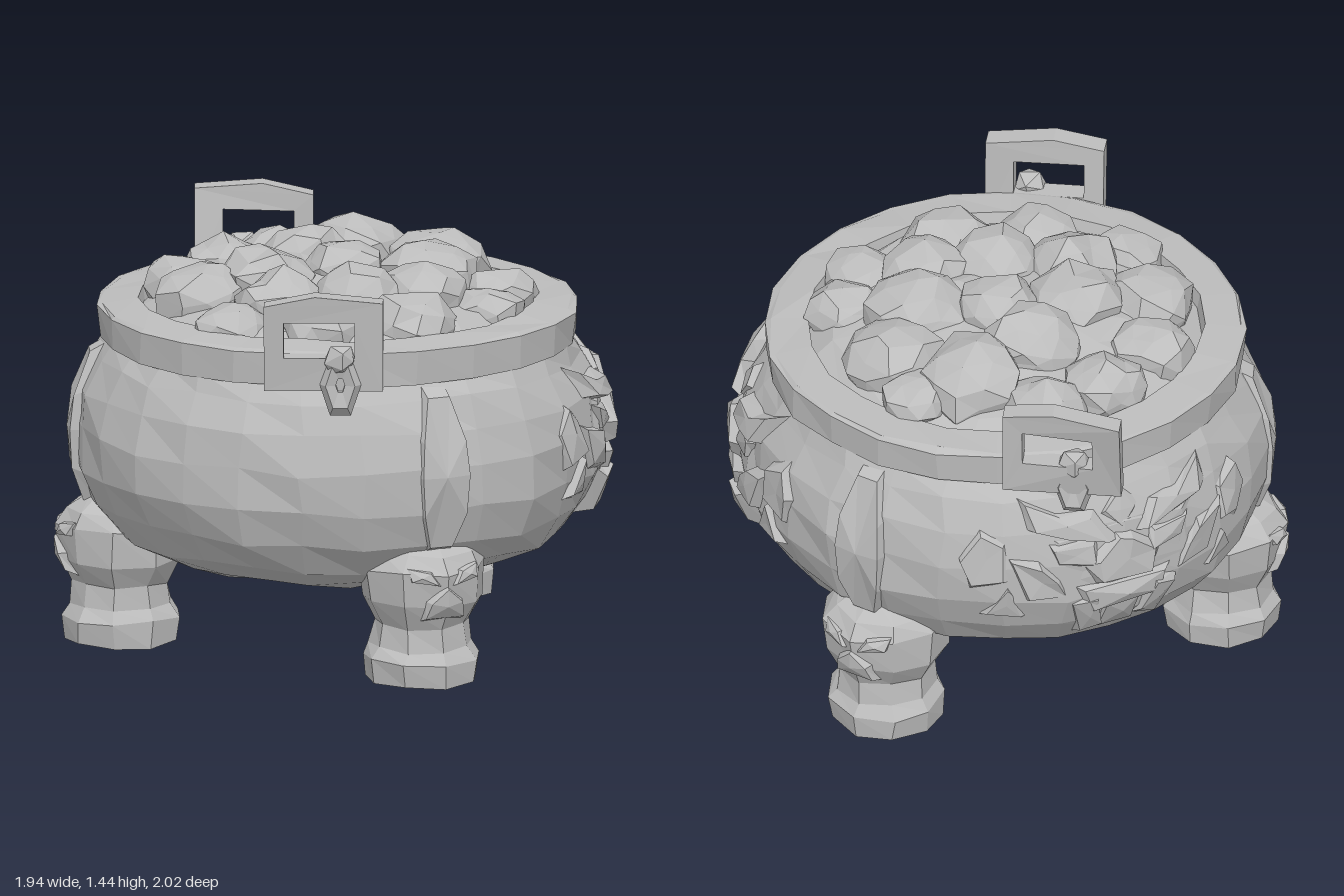
import * as THREE from 'three';

const stone = new THREE.MeshStandardMaterial({ color: 0xbcbcbc, flatShading: true });
stone.name = 'greyStone';
const rad = THREE.MathUtils.degToRad;

// repeatable noise in -1..1 from a position
function noise(x, y, z, seed) {
  const s = Math.sin(Math.round(x * 500) * 0.129 + Math.round(y * 500) * 0.782 + Math.round(z * 500) * 0.377 + seed * 1.7) * 43758.5;
  return (s - Math.floor(s)) * 2 - 1;
}

function roughen(geo, amount, seed = 1) {
  const p = geo.attributes.position;
  for (let i = 0; i < p.count; i++) {
    const [x, y, z] = [p.getX(i), p.getY(i), p.getZ(i)];
    p.setXYZ(i, x + amount * noise(x, y, z, seed), y + amount * noise(x, y, z, seed + 1), z + amount * noise(x, y, z, seed + 2));
  }
  return geo;
}

function add(parent, name, geo) {
  const flat = geo.index ? geo.toNonIndexed() : geo;
  flat.computeVertexNormals();
  const mesh = new THREE.Mesh(flat, stone);
  mesh.name = name;
  parent.add(mesh);
  return mesh;
}

const lathe = (profile, sides) => new THREE.LatheGeometry(profile.map(([r, y]) => new THREE.Vector2(r, y)), sides);

// radius of a profile at height y
function radiusAt(profile, y) {
  for (let i = 1; i < profile.length; i++) {
    const [r0, y0] = profile[i - 1], [r1, y1] = profile[i];
    if (y <= y1) return y1 === y0 ? r1 : r0 + (r1 - r0) * Math.max(0, (y - y0) / (y1 - y0));
  }
  return profile[profile.length - 1][0];
}

// bevelled raised patch wrapped round a profile; outline is [across, height]
function relief(profile, angle, outline, height, inset = 0.72) {
  const n = outline.length, span = Math.max(...profile.map(p => p[0]));
  const cu = outline.reduce((s, p) => s + p[0], 0) / n, cv = outline.reduce((s, p) => s + p[1], 0) / n;
  const place = (u, v, h) => {
    const r = radiusAt(profile, v) + h, a = angle + u / span;
    return [r * Math.sin(a), v, r * Math.cos(a)];
  };
  const pos = [], idx = [];
  outline.forEach(([u, v]) => pos.push(...place(u, v, -0.02)));
  outline.forEach(([u, v]) => pos.push(...place(cu + (u - cu) * inset, cv + (v - cv) * inset, height)));
  pos.push(...place(cu, cv, height * 1.1));
  for (let i = 0; i < n; i++) {
    const j = (i + 1) % n;
    idx.push(i, j, n + j, i, n + j, n + i, n + i, n + j, 2 * n);
  }
  const geo = new THREE.BufferGeometry();
  geo.setAttribute('position', new THREE.Float32BufferAttribute(pos, 3));
  geo.setIndex(idx);
  return geo;
}

const mirrored = outline => outline.map(([u, v]) => [-u, v]).reverse();

const bowl = [[0, 0.27], [0.3, 0.275], [0.5, 0.3], [0.67, 0.35], [0.8, 0.42], [0.88, 0.52], [0.925, 0.65],
  [0.93, 0.8], [0.91, 0.93], [0.86, 1.04], [0.82, 1.11]];
const legProfile = [[0, 0], [0.2, 0], [0.21, 0.09], [0.185, 0.13], [0.17, 0.21], [0.22, 0.3], [0.228, 0.42],
  [0.19, 0.48], [0.1, 0.53], [0, 0.54]];

// beast mask: paired pieces, then centre pieces, each [name, relief height, outline]
const pairs = [
  ['brow', 0.075, [[0.02, 0.86], [0.2, 0.89], [0.38, 0.93], [0.43, 1.06], [0.26, 0.99], [0.1, 0.98]]],
  ['eye', 0.04, [[0.08, 0.77], [0.26, 0.79], [0.3, 0.89], [0.1, 0.88]]],
  ['cheek', 0.055, [[0.2, 0.64], [0.38, 0.66], [0.46, 0.86], [0.32, 0.82], [0.24, 0.74]]],
  ['fang', 0.09, [[0.07, 0.48], [0.17, 0.45], [0.22, 0.64], [0.1, 0.67]]],
  ['maneLock', 0.035, [[0.42, 0.74], [0.57, 0.7], [0.62, 0.84], [0.55, 0.97], [0.44, 0.9]]],
  ['maneTip', 0.03, [[0.36, 0.58], [0.54, 0.6], [0.44, 0.74]]],
];
const centres = [
  ['face', 0.02, [[-0.2, 0.52], [0.2, 0.52], [0.36, 0.7], [0.34, 0.94], [0, 1.0], [-0.34, 0.94], [-0.36, 0.7]]],
  ['nose', 0.08, [[-0.12, 0.69], [0.12, 0.69], [0.16, 0.79], [0.04, 0.9], [-0.04, 0.9], [-0.16, 0.79]]],
  ['mouth', 0.075, [[-0.18, 0.58], [0.18, 0.58], [0.22, 0.71], [-0.22, 0.71]]],
  ['chin', 0.06, [[-0.11, 0.45], [0.09, 0.45], [0.08, 0.62], [-0.09, 0.62]]],
  ['forehead', 0.035, [[0, 0.88], [0.08, 0.97], [0, 1.06], [-0.08, 0.97]]],
];

function addMask(parent, degrees, strength) {
  const mask = new THREE.Group();
  mask.name = 'beastMask';
  const a = rad(degrees);
  for (const [name, h, o] of pairs) {
    add(mask, name + 'Left', roughen(relief(bowl, a, o, h * strength), 0.012, 3));
    add(mask, name + 'Right', roughen(relief(bowl, a, mirrored(o), h * strength), 0.012, 5));
  }
  for (const [name, h, o] of centres) add(mask, name, roughen(relief(bowl, a, o, h * strength), 0.01, 7));
  parent.add(mask);
}

function makeLeg(degrees, distance) {
  const leg = new THREE.Group();
  leg.name = 'leg';
  const a = rad(degrees);
  add(leg, 'legColumn', roughen(lathe(legProfile, 9), 0.008)).position.y = 0.008;
  const brow = [[0.01, 0.38], [0.14, 0.4], [0.17, 0.46], [0.05, 0.44]];
  add(leg, 'legBrowLeft', relief(legProfile, 0, brow, 0.01));
  add(leg, 'legBrowRight', relief(legProfile, 0, mirrored(brow), 0.01));
  add(leg, 'legSnout', relief(legProfile, 0, [[-0.11, 0.25], [0.11, 0.25], [0.08, 0.33], [0, 0.4], [-0.08, 0.33]], 0.012));
  leg.position.set(distance * Math.sin(a), 0, distance * Math.cos(a));
  leg.rotation.y = a;
  return leg;
}

// upright frame with a hanging ring; each end leans outward (+z) by its own slope
function makeHandle(x, z, angle, leanRight, leanLeft, ringX, ringZ) {
  const handle = new THREE.Group();
  handle.name = 'handle';
  const shape = new THREE.Shape([[-0.21, 1.1], [0.21, 1.1], [0.21, 1.42], [-0.03, 1.445], [-0.21, 1.41]].map(p => new THREE.Vector2(...p)));
  shape.holes.push(new THREE.Path([[-0.14, 1.22], [-0.14, 1.35], [0.11, 1.35], [0.11, 1.22]].map(p => new THREE.Vector2(...p))));
  const frame = new THREE.ExtrudeGeometry(shape, { depth: 0.08, bevelEnabled: false });
  const p = frame.attributes.position;
  for (let i = 0; i < p.count; i++) {
    const lean = THREE.MathUtils.mapLinear(p.getX(i), -0.21, 0.21, leanRight, leanLeft);
    p.setZ(i, p.getZ(i) + (p.getY(i) - 1.1) * lean);
  }
  add(handle, 'handleFrame', frame);
  const ring = add(handle, 'hangingRing', new THREE.TorusGeometry(0.042, 0.032, 5, 6));
  ring.scale.set(1, 1.75, 1.1);
  ring.position.set(ringX, 1.125, ringZ);
  const stud = add(handle, 'ringStud', roughen(new THREE.IcosahedronGeometry(0.06, 0), 0.01));
  stud.position.set(ringX, 1.21, ringZ);
  handle.position.set(x, 0, z);
  handle.rotation.y = angle;
  return handle;
}

export function createModel() {
  const model = new THREE.Group();
  model.name = 'tripodCauldron';
  const pot = new THREE.Group();
  pot.name = 'pot';
  pot.position.set(-0.015, 0, 0.05);
  model.add(pot);

  // bowl and rim
  add(pot, 'bowl', roughen(lathe(bowl, 26), 0.012));
  add(pot, 'rim', roughen(lathe([[0.8, 1.1], [0.845, 1.1], [0.85, 1.215], [0.83, 1.225], [0.7, 1.235], [0.68, 1.13]], 24), 0.006, 4));

  // legs with a strap above each
  const strap = [[-0.05, 0.48], [0.05, 0.48], [0.09, 0.62], [0.1, 0.78], [0.09, 0.92], [0.05, 1.09],
    [-0.05, 1.09], [-0.09, 0.92], [-0.1, 0.78], [-0.09, 0.62]];
  for (const [degrees, distance] of [[4.5, 0.73], [133, 0.755], [253.5, 0.765]]) {
    pot.add(makeLeg(degrees, distance));
    add(pot, 'strap', relief(bowl, rad(degrees), strap, 0.025, 0.88));
  }

  // beast masks on the side and back panels
  addMask(pot, 75, 0.62);
  addMask(pot, 194, 0.28);

  // handles
  model.add(makeHandle(-0.335, 0.81, -0.366, 0.1, 0.04, 0.06, 0.08));
  model.add(makeHandle(-0.03, -0.79, Math.PI - 0.34, 0.02, 0.22, 0.04, 0.055));

  // heap of rocks: x, z, radius
  add(pot, 'rockBed', roughen(lathe([[0.71, 1.18], [0.62, 1.24], [0.4, 1.285], [0.2, 1.32], [0, 1.33]], 16), 0.015));
  const rocks = [[-0.02, -0.54, 0.15], [-0.25, -0.45, 0.15], [-0.47, -0.26, 0.15], [-0.05, -0.2, 0.17], [0.2, -0.34, 0.19],
    [0.42, -0.14, 0.18], [-0.26, 0.02, 0.17], [0.02, 0.02, 0.15], [0.31, 0.1, 0.19], [-0.51, 0.02, 0.18], [-0.52, 0.37, 0.14],
    [-0.3, 0.27, 0.17], [-0.05, 0.33, 0.17], [0.2, 0.35, 0.17], [0.4, 0.45, 0.14], [-0.24, 0.54, 0.15], [0.07, 0.57, 0.17],
    [0.52, 0.24, 0.14], [0.4, -0.36, 0.13]];
  rocks.forEach(([x, z, r], i) => {
    const rock = add(model, 'rock', roughen(new THREE.IcosahedronGeometry(r, 1), r * 0.12, i));
    rock.scale.set(1, 0.78, 1);
    rock.position.set(x, 1.31 - 0.26 * (x * x + z * z), z);
    rock.rotation.y = i * 1.3;
  });
  return model;
}
